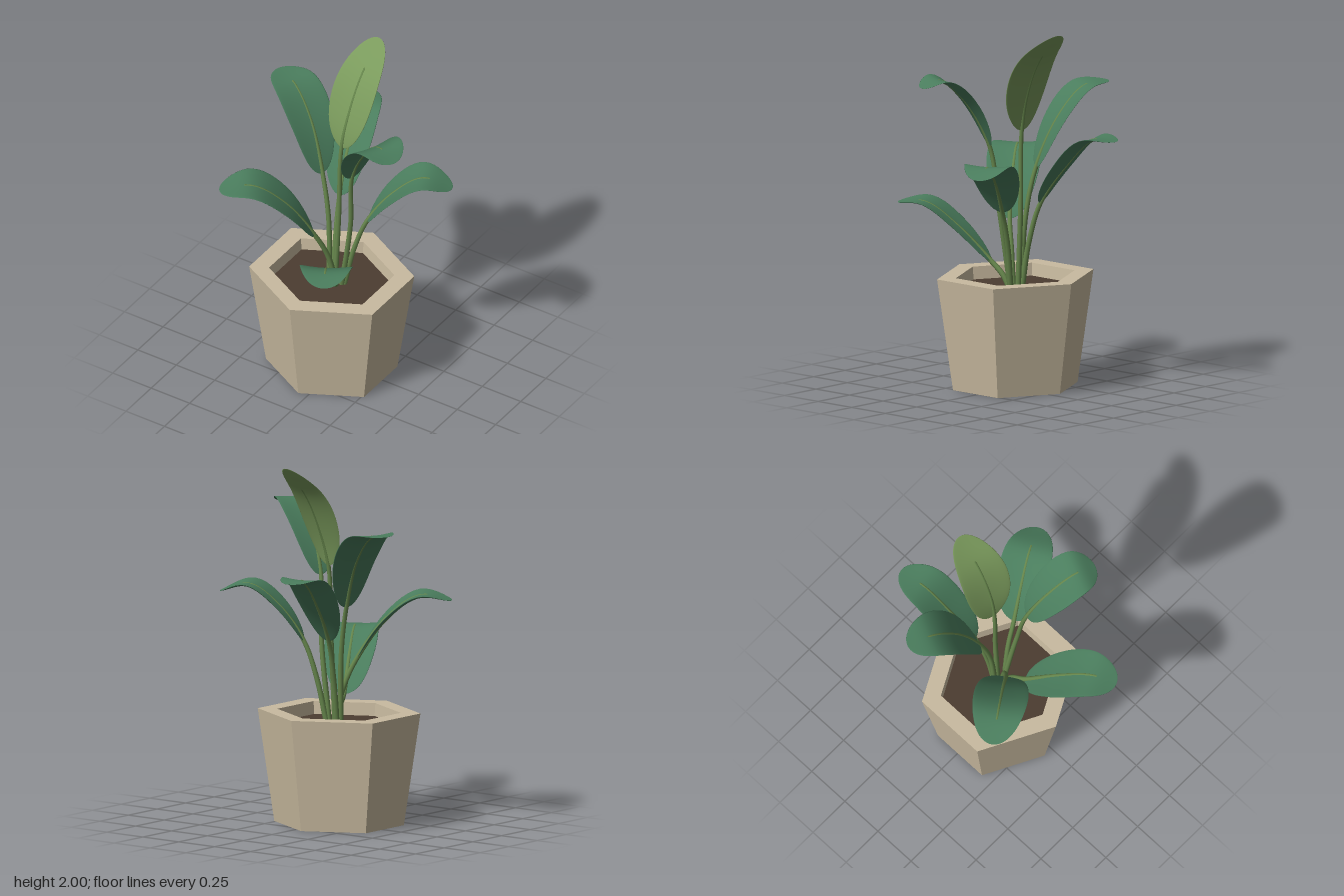
import * as THREE from 'three';

const paint = (name, color, extra = {}) => {
  const m = new THREE.MeshStandardMaterial({ color, ...extra });
  m.name = name;
  return m;
};

const BLADE_START = 2 / 5; // root and stalk points come before the blade points
const RIB_END = 0.87;

// Thin ellipsoid bent along the blade part of the path, edges slightly raised.
function bladeGeometry(curve, half) {
  const geo = new THREE.SphereGeometry(1, 28, 28);
  const pos = geo.attributes.position;
  const start = curve.getPoint(BLADE_START);
  const heading = curve.getPoint(1).sub(start).setY(0).normalize();
  const side = heading.cross(new THREE.Vector3(0, 1, 0)).normalize();
  for (let i = 0; i < pos.count; i++) {
    const x = pos.getX(i), z = pos.getZ(i);
    const t = Math.min(1, THREE.MathUtils.lerp(BLADE_START, 1, (1 + pos.getY(i)) / 2));
    const normal = side.clone().cross(curve.getTangent(t)).normalize();
    const p = curve.getPoint(t);
    p.addScaledVector(side, x * half).addScaledVector(normal, z * 0.007 + x * x * 0.018);
    pos.setXYZ(i, p.x, p.y, p.z);
  }
  geo.computeVertexNormals();
  return geo;
}

// Tube that thins from the soil to a closed end near the leaf tip.
function stalkGeometry(curve) {
  const part = new THREE.Curve();
  part.getPoint = (t, target = new THREE.Vector3()) => curve.getPoint(t * RIB_END, target);
  const steps = 40, sides = 8;
  const geo = new THREE.TubeGeometry(part, steps, 0.016, sides);
  const pos = geo.attributes.position;
  const v = new THREE.Vector3();
  for (let i = 0; i <= steps; i++) {
    const c = part.getPointAt(i / steps);
    const k = i === steps ? 0.01 : 1 - 0.45 * (i / steps);
    for (let j = 0; j <= sides; j++) {
      const n = i * (sides + 1) + j;
      v.fromBufferAttribute(pos, n).sub(c).multiplyScalar(k).add(c);
      pos.setXYZ(n, v.x, v.y, v.z);
    }
  }
  return geo;
}

export function createModel() {
  const clay = paint('clay', 0xc9bba0, { flatShading: true });
  const earth = paint('soil', 0x4c3d31, { flatShading: true });
  const leafGreen = paint('leaf green', 0x4a7d5d);
  const youngGreen = paint('young leaf green', 0x7a9a5c);
  const stalkGreen = paint('stalk green', 0x66864c);

  const model = new THREE.Group();
  model.name = 'pottedPlant';
  const add = (parent, name, geo, mat) => {
    const mesh = new THREE.Mesh(geo, mat);
    mesh.name = name;
    parent.add(mesh);
  };

  // Six-sided tapered pot with a thick rim, and the soil inside
  const planter = new THREE.Group();
  planter.name = 'planter';
  planter.position.set(-0.055, 0, 0.017);
  model.add(planter);
  const widen = 1.107;
  const profile = [[0, 0], [0.3325, 0], [0.4175, 0.62], [0.317, 0.62], [0.308, 0.53]];
  const potShape = new THREE.LatheGeometry(profile.map(([r, y]) => new THREE.Vector2(r, y)), 6);
  add(planter, 'pot', potShape.scale(widen, 1, 1), clay);
  const soilShape = new THREE.CylinderGeometry(0.311, 0.308, 0.02, 6).translate(0, 0.54, 0);
  add(planter, 'soil', soilShape.scale(widen, 1, 1), earth);

  // A leaf is a stalk with its midrib and a bent blade:
  // root, stalk bend, blade base, two blade points, tip
  const addLeaf = (name, half, green, ...path) => {
    const leaf = new THREE.Group();
    leaf.name = name;
    const curve = new THREE.CatmullRomCurve3(path.map((p) => new THREE.Vector3(...p)));
    add(leaf, 'stalk', stalkGeometry(curve), stalkGreen);
    add(leaf, 'blade', bladeGeometry(curve, half), green);
    model.add(leaf);
  };
  addLeaf('youngLeaf', 0.142, youngGreen, [-0.05, 0.55, -0.01], [-0.042, 1, -0.035],
    [-0.035, 1.43, -0.05], [-0.018, 1.64, -0.105], [-0.003, 1.83, -0.2], [0.01, 2, -0.36]);
  addLeaf('tallLeftLeaf', 0.14, leafGreen, [0, 0.55, 0], [0.07, 1, 0.02],
    [0.105, 1.35, 0.06], [0.235, 1.615, 0.125], [0.37, 1.73, 0.18], [0.48, 1.7, 0.22]);
  addLeaf('tallRightLeaf', 0.14, leafGreen, [-0.08, 0.55, 0], [-0.1, 0.95, -0.02],
    [-0.155, 1.21, -0.045], [-0.27, 1.48, -0.105], [-0.41, 1.635, -0.16], [-0.55, 1.66, -0.21]);
  addLeaf('frontRightLeaf', 0.15, leafGreen, [-0.03, 0.55, 0.01], [-0.06, 0.75, 0.05],
    [-0.11, 0.91, 0.11], [-0.235, 1.125, 0.205], [-0.38, 1.25, 0.31], [-0.53, 1.23, 0.41]);
  addLeaf('frontLeaf', 0.145, leafGreen, [-0.02, 0.55, 0.03], [-0.01, 0.62, 0.07],
    [0.01, 0.69, 0.14], [0.1, 0.87, 0.3], [0.19, 0.995, 0.455], [0.265, 0.995, 0.59]);
  addLeaf('backLeftLeaf', 0.14, leafGreen, [0.01, 0.55, -0.01], [0.06, 0.8, -0.035],
    [0.13, 1, -0.06], [0.255, 1.19, -0.125], [0.395, 1.3, -0.2], [0.545, 1.26, -0.27]);
  addLeaf('backLeaf', 0.13, leafGreen, [-0.07, 0.55, -0.02], [-0.08, 0.8, -0.06],
    [-0.1, 1.03, -0.13], [-0.14, 1.25, -0.28], [-0.173, 1.405, -0.44], [-0.2, 1.415, -0.6]);
  return model;
}
